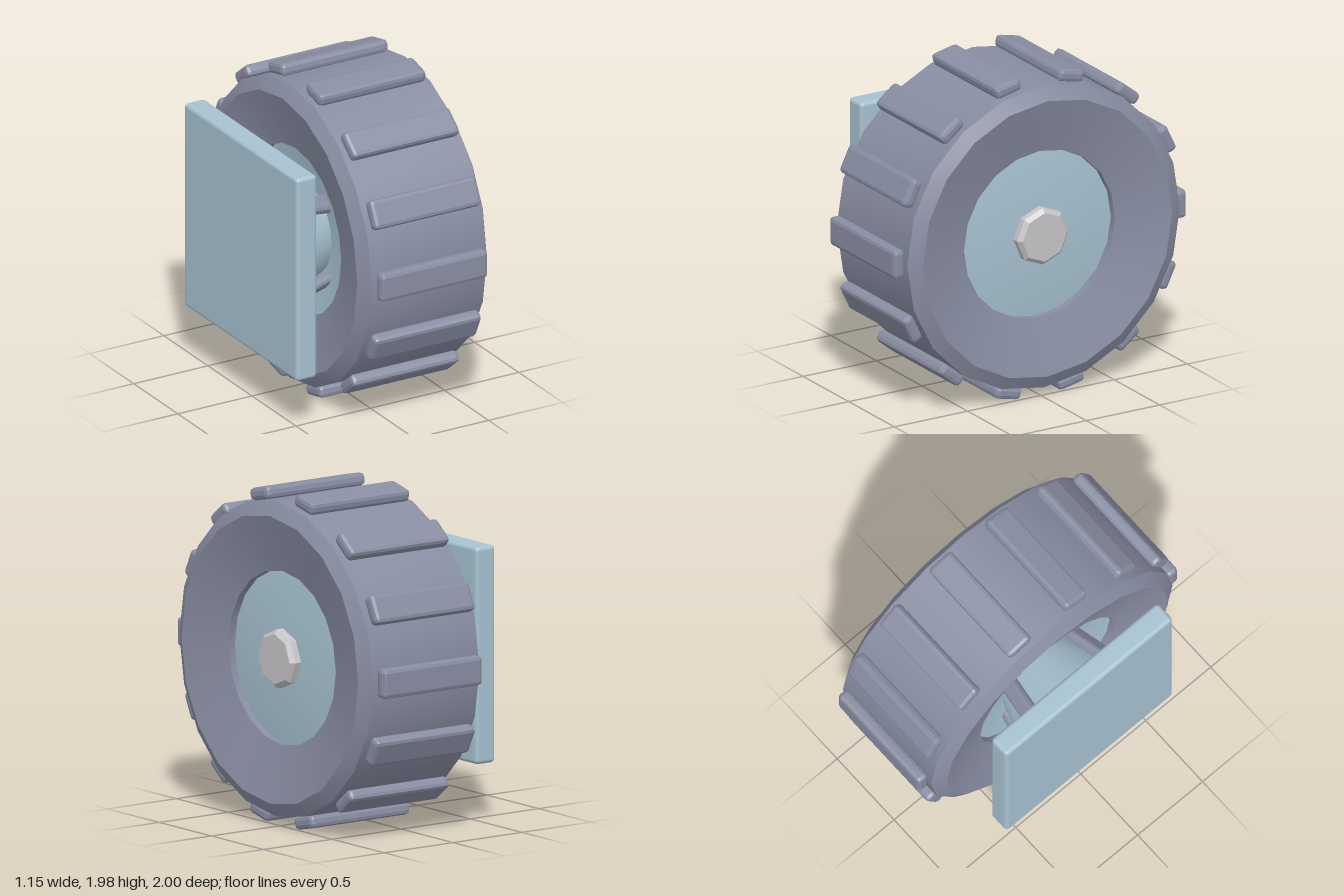
import * as THREE from 'three';
import { toCreasedNormals } from 'three/addons/utils/BufferGeometryUtils.js';
import { RoundedBoxGeometry } from 'three/addons/geometries/RoundedBoxGeometry.js';

const AXLE_Y = 0.99;

// Revolves [radius, x] points about the x axis, keeping profile corners sharp
function turned(points, sides) {
  const profile = points.map(([r, x]) => new THREE.Vector2(r, x));
  const geometry = new THREE.LatheGeometry(profile, sides);
  geometry.rotateZ(-Math.PI / 2);
  return toCreasedNormals(geometry, 0.42);
}

// Box with flat chamfers on every edge
function chamferedBox(w, h, d, chamfer) {
  const geometry = new RoundedBoxGeometry(w, h, d, 1, chamfer);
  geometry.computeVertexNormals();
  return geometry;
}

export function createModel() {
  const rubber = new THREE.MeshStandardMaterial({ color: 0x888da2 });
  rubber.name = 'slate rubber';
  const paint = new THREE.MeshStandardMaterial({ color: 0xa6c2d0 });
  paint.name = 'pale blue paint';
  const steel = new THREE.MeshStandardMaterial({ color: 0xc6c4c6 });
  steel.name = 'light steel';

  const model = new THREE.Group();
  model.name = 'wheelAssembly';
  const wheel = new THREE.Group();
  wheel.name = 'wheel';
  wheel.position.y = AXLE_Y;
  model.add(wheel);

  function add(parent, name, geometry, material) {
    const mesh = new THREE.Mesh(geometry, material);
    mesh.name = name;
    parent.add(mesh);
    return mesh;
  }

  // Tyre with chamfered shoulders and dished sidewalls
  add(wheel, 'tyre', turned([
    [0.515, -0.165], [0.515, -0.205], [0.85, -0.295], [0.93, -0.245],
    [0.93, 0.53], [0.85, 0.575], [0.515, 0.485], [0.515, 0.43],
  ], 20), rubber);

  // Hub: domed outer disc and flared mounting boss
  add(wheel, 'hub', turned([
    [0, -0.445], [0.365, -0.445], [0.385, -0.415], [0.28, -0.13],
    [0.517, -0.165], [0.517, 0.44], [0, 0.5],
  ], 20), paint);

  // Eight-sided axle bolt
  const bolt = turned([[0.175, 0.42], [0.175, 0.52], [0.15, 0.545], [0, 0.545]], 8)
    .toNonIndexed();
  bolt.computeVertexNormals();
  add(wheel, 'axleBolt', bolt, steel);

  // Tread blocks around the rim
  const treadGeometry = chamferedBox(0.72, 0.075, 0.175, 0.024);
  for (let i = 0; i < 14; i++) {
    const spoke = new THREE.Group();
    spoke.rotation.x = Math.PI / 2 + (i * Math.PI * 2) / 14;
    wheel.add(spoke);
    add(spoke, 'treadBlock', treadGeometry, rubber).position.set(0.14, 0.9625, 0);
  }

  // Four ribs lying along the flared boss
  const ribGeometry = chamferedBox(0.32, 0.065, 0.11, 0.022);
  for (let i = 0; i < 4; i++) {
    const spoke = new THREE.Group();
    spoke.rotation.x = Math.PI / 4 + (i * Math.PI) / 2;
    wheel.add(spoke);
    const rib = add(spoke, 'bossRib', ribGeometry, rubber);
    rib.position.set(-0.275, 0.375, 0);
    rib.rotation.z = -0.25;
  }

  // Square mounting plate
  const plate = add(model, 'mountingPlate',
    new RoundedBoxGeometry(0.14, 1.285, 1.285, 3, 0.025), paint);
  plate.position.set(-0.51, AXLE_Y, 0);

  return model;
}
